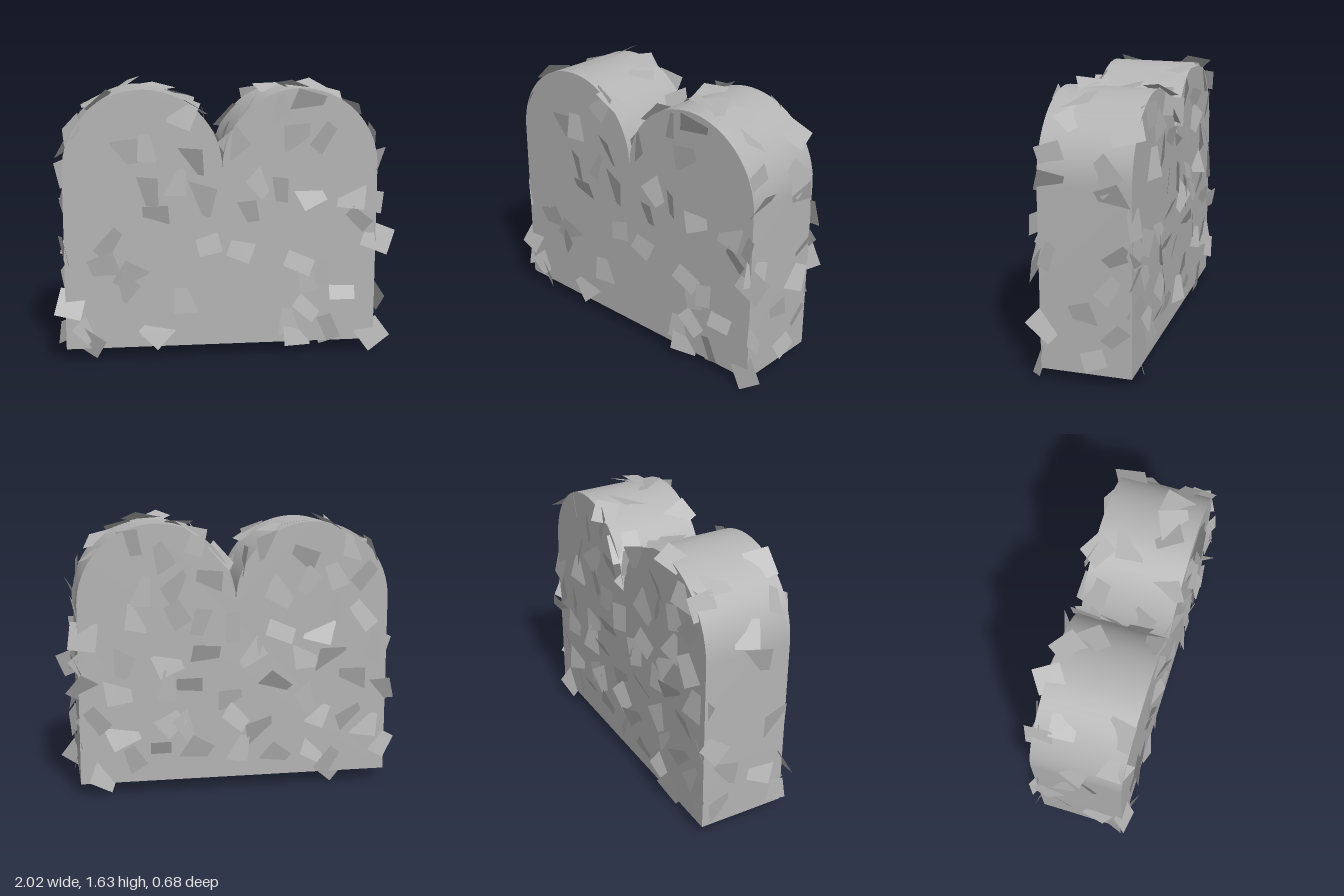
import * as THREE from 'three';
import { mergeGeometries, toCreasedNormals } from 'three/addons/utils/BufferGeometryUtils.js';

const LEFT = 0.9, RIGHT = -0.93, BASE = 0.075, FRONT = 0.27, BACK = -0.255;
const R = 0.4575, SPRING = 1.125, ARCHES = [-0.4725, 0.4425];

export function createModel() {
  const group = new THREE.Group();
  const gray = new THREE.MeshStandardMaterial({ color: 0xb4b4b4, side: THREE.DoubleSide });
  gray.name = 'gray';

  let seed = 11;
  const rand = () => (seed = (seed * 16807) % 2147483647) / 2147483647;
  const range = (a, b) => a + (b - a) * rand();

  const add = (name, geometry) => {
    const mesh = new THREE.Mesh(geometry, gray);
    mesh.name = name;
    group.add(mesh);
  };

  // Clipped hedge body with two round tops
  const outline = new THREE.Shape();
  outline.moveTo(RIGHT, BASE);
  outline.lineTo(LEFT, BASE);
  outline.lineTo(LEFT, SPRING);
  outline.absarc(ARCHES[1], SPRING, R, 0, Math.PI, false);
  outline.absarc(ARCHES[0], SPRING, R, 0, Math.PI, false);
  outline.closePath();
  const body = new THREE.ExtrudeGeometry(outline, {
    depth: FRONT - BACK, bevelEnabled: false, curveSegments: 16,
  });
  body.translate(0, 0, BACK);
  add('hedgeBody', toCreasedNormals(body, 0.5));

  // A square leaf half sunk in the surface, spun and tipped at random
  const Z = new THREE.Vector3(0, 0, 1);
  const leaf = (x, y, z, normal, tilt = range(0.15, 0.5)) => {
    const size = range(0.14, 0.18);
    const card = new THREE.PlaneGeometry(size, size * range(0.85, 1));
    const spin = range(0, Math.PI), axis = range(0, Math.PI * 2);
    card.rotateZ(spin);
    card.applyQuaternion(new THREE.Quaternion().setFromAxisAngle(
      new THREE.Vector3(Math.cos(axis), Math.sin(axis), 0), tilt));
    card.applyQuaternion(new THREE.Quaternion().setFromUnitVectors(Z, normal));
    return card.translate(x + normal.x * 0.006, y + normal.y * 0.006, z + normal.z * 0.006);
  };

  // Leaves on the front
  const frontSpots = [
    [-0.57, 1.23], [-0.43, 1.25], [-0.24, 1.45], [0.05, 1.27], [0.22, 1.05], [0.3, 1.47], [0.42, 1.3],
    [0.48, 1.49], [0.6, 1.28], [-0.47, 1.0], [-0.4, 0.85], [-0.3, 1.05], [-0.2, 1.17], [-0.15, 0.95],
    [0.12, 0.87], [0.1, 0.66], [-0.1, 0.7], [0.3, 1.0], [0.5, 0.97], [0.75, 0.95], [0.86, 0.92],
    [0.91, 0.7], [0.78, 0.8], [0.45, 0.58], [0.5, 0.45], [0.7, 0.4], [0.6, 0.5], [0.4, 0.2],
    [0.6, 0.15], [0.5, 0.3], [0.89, 0.11], [-0.79, 0.11], [-0.8, 0.2], [-0.9, 0.35], [-0.6, 0.45],
    [-0.7, 0.55], [-0.65, 0.68], [-0.4, 0.17], [-0.22, 0.35], [-0.55, 0.5], [0.43, 0.14],
  ];
  add('frontLeaves', mergeGeometries(frontSpots.map(([x, y]) => leaf(x, y, FRONT, Z))));

  // Leaves on the back, scattered over a loose grid inside the outline
  const backNormal = new THREE.Vector3(0, 0, -1);
  const backLeaves = [];
  for (let row = 0; row < 7; row++) {
    for (let col = 0; col < 9; col++) {
      const x = -0.86 + col * 0.21 + range(-0.08, 0.08);
      const y = 0.19 + row * 0.205 + range(-0.07, 0.07);
      const inside = y < SPRING || ARCHES.some((cx) => Math.hypot(x - cx, y - SPRING) < R - 0.03);
      if (inside) backLeaves.push(leaf(THREE.MathUtils.clamp(x, -0.89, 0.87), y, BACK, backNormal));
    }
  }
  add('backLeaves', mergeGeometries(backLeaves));

  // Leaves on the two ends, as [z, y]
  const leftSpots = [[0.23, 0.35], [-0.03, 0.19], [-0.1, 0.6], [-0.15, 1.08], [0.02, 0.42],
    [0.2, 1.15], [-0.2, 0.75], [0.24, 0.75], [-0.18, 0.3]];
  const rightSpots = [[0.2, 0.65], [-0.05, 0.9], [0.12, 0.35], [-0.15, 0.18], [-0.18, 0.6],
    [0.05, 1.08], [0.2, 0.17], [-0.12, 0.4]];
  const ends = [['leftEndLeaves', leftSpots, LEFT], ['rightEndLeaves', rightSpots, RIGHT]];
  for (const [name, spots, x] of ends) {
    const normal = new THREE.Vector3(Math.sign(x), 0, 0);
    add(name, mergeGeometries(spots.map(([z, y]) => leaf(x, y, z, normal))));
  }

  // Leaves on the round tops, as [angle in degrees, z]
  const topSpots = [
    [[165, 0], [150, 0.22], [128, -0.1], [122, 0.2], [140, -0.22], [75, -0.2], [64, -0.1],
      [50, 0.24], [30, -0.2], [22, 0.1], [100, -0.24], [12, -0.05]],
    [[170, -0.2], [158, 0.1], [130, 0.21], [107, -0.06], [92, 0.12], [84, 0.14], [66, 0.12],
      [48, 0.12], [40, -0.2], [20, 0.2], [10, -0.1], [145, -0.2], [115, -0.23]],
  ];
  ARCHES.forEach((cx, i) => {
    const leaves = topSpots[i].map(([deg, z]) => {
      const a = THREE.MathUtils.degToRad(deg);
      const n = new THREE.Vector3(Math.cos(a), Math.sin(a), 0);
      return leaf(cx + R * n.x, SPRING + R * n.y, z, n);
    });
    add(i ? 'leftTopLeaves' : 'rightTopLeaves', mergeGeometries(leaves));
  });

  return group;
}
